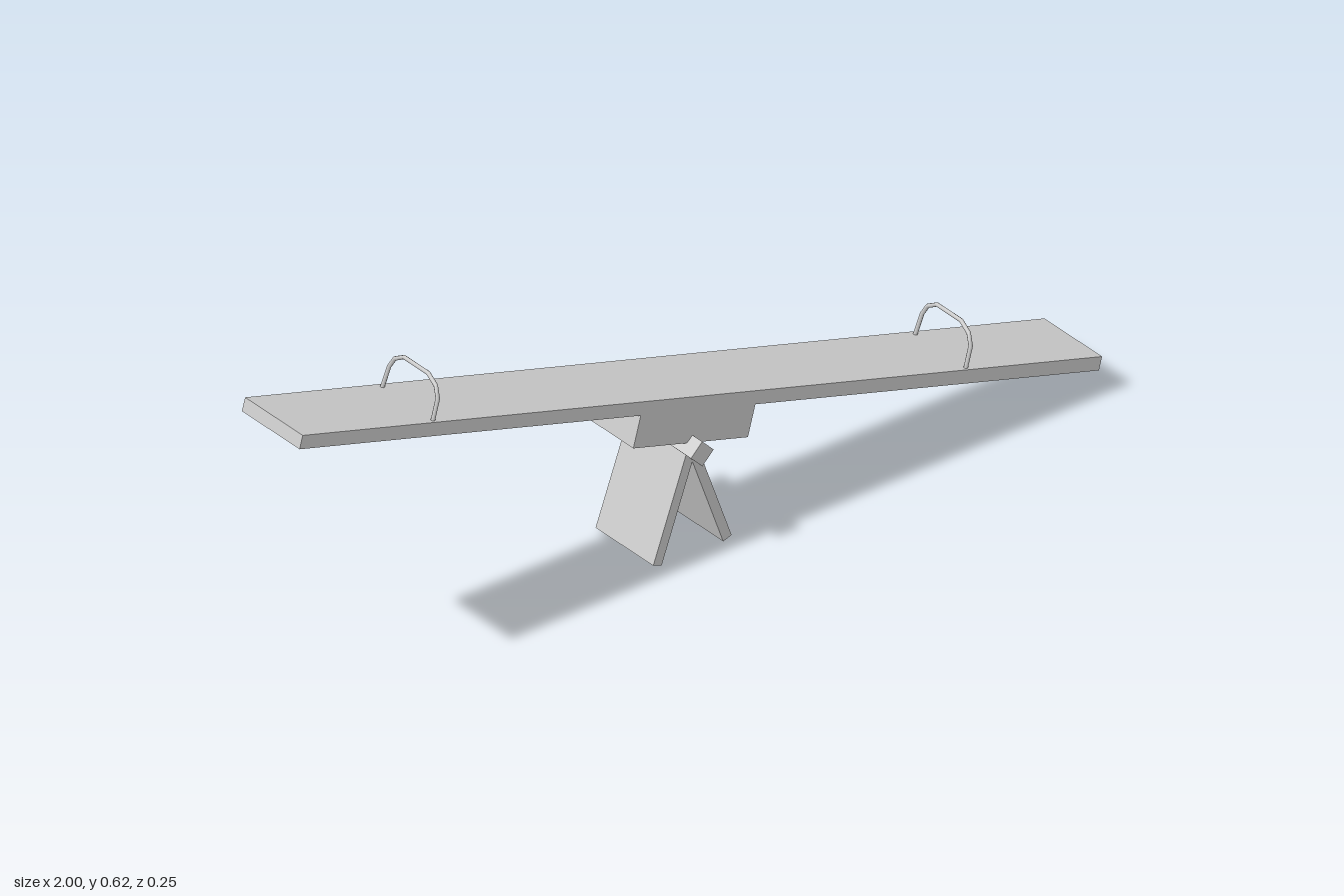
import * as THREE from 'three';

const WIDTH = 0.186;
const TILT = THREE.MathUtils.degToRad(15.2);
const SPLAY = THREE.MathUtils.degToRad(20);

const material = new THREE.MeshStandardMaterial({ color: 0xcccccc, flatShading: true });
const barMaterial = new THREE.MeshStandardMaterial({ color: 0xcccccc });

function addBox(parent, name, w, h, d, x, y) {
  const mesh = new THREE.Mesh(new THREE.BoxGeometry(w, h, d), material);
  mesh.name = name;
  mesh.position.set(x, y, 0);
  parent.add(mesh);
  return mesh;
}

// Path with one tube ring per corner, mitred along the neighbouring points
class BentBar extends THREE.Curve {
  constructor(points) {
    super();
    this.points = points;
  }
  index(u) {
    return Math.round(u * (this.points.length - 1));
  }
  getPointAt(u, target = new THREE.Vector3()) {
    return target.copy(this.points[this.index(u)]);
  }
  getTangentAt(u, target = new THREE.Vector3()) {
    const i = this.index(u), last = this.points.length - 1;
    return target.subVectors(this.points[Math.min(i + 1, last)], this.points[Math.max(i - 1, 0)]).normalize();
  }
}

export function createModel() {
  const model = new THREE.Group();
  model.name = 'seesaw';

  // Tilted board with its mounting block
  const board = new THREE.Group();
  board.name = 'tiltingBoard';
  board.position.y = 0.338;
  board.rotation.z = -TILT;
  model.add(board);
  addBox(board, 'plank', 2.064, 0.03, WIDTH, 0, 0);
  addBox(board, 'mountingBlock', 0.296, 0.071, WIDTH, -0.003, -0.0505);

  // Bent grab handles, as [z, height above the plank]
  const profile = [
    [0.083, -0.008], [0.083, 0.047], [0.069, 0.069], [0.04, 0.083],
    [-0.038, 0.083], [-0.063, 0.069], [-0.074, 0.047], [-0.081, -0.008],
  ];
  const bar = new BentBar(profile.map(([z, y]) => new THREE.Vector3(0, y, z)));
  const barGeometry = new THREE.TubeGeometry(bar, profile.length - 1, 0.0045, 8);
  for (const side of [-1, 1]) {
    const handle = new THREE.Mesh(barGeometry, barMaterial);
    handle.name = side > 0 ? 'leftHandle' : 'rightHandle';
    handle.position.set(side * 0.688, 0.015, 0);
    board.add(handle);
  }

  // Square pivot bar standing on its edge
  const stand = new THREE.Group();
  stand.name = 'stand';
  stand.position.set(-0.021, 0.2435, 0);
  model.add(stand);
  addBox(stand, 'pivotBar', 0.04, 0.04, 0.25, 0, 0).rotation.z = Math.PI / 4;

  // Two splayed panel legs
  const legLength = 0.255;
  for (const side of [-1, 1]) {
    const leg = new THREE.Group();
    leg.name = side > 0 ? 'leftLeg' : 'rightLeg';
    leg.rotation.z = side * SPLAY;
    addBox(leg, 'legPanel', 0.022, legLength, WIDTH, 0, -legLength / 2);
    stand.add(leg);
  }

  return model;
}
